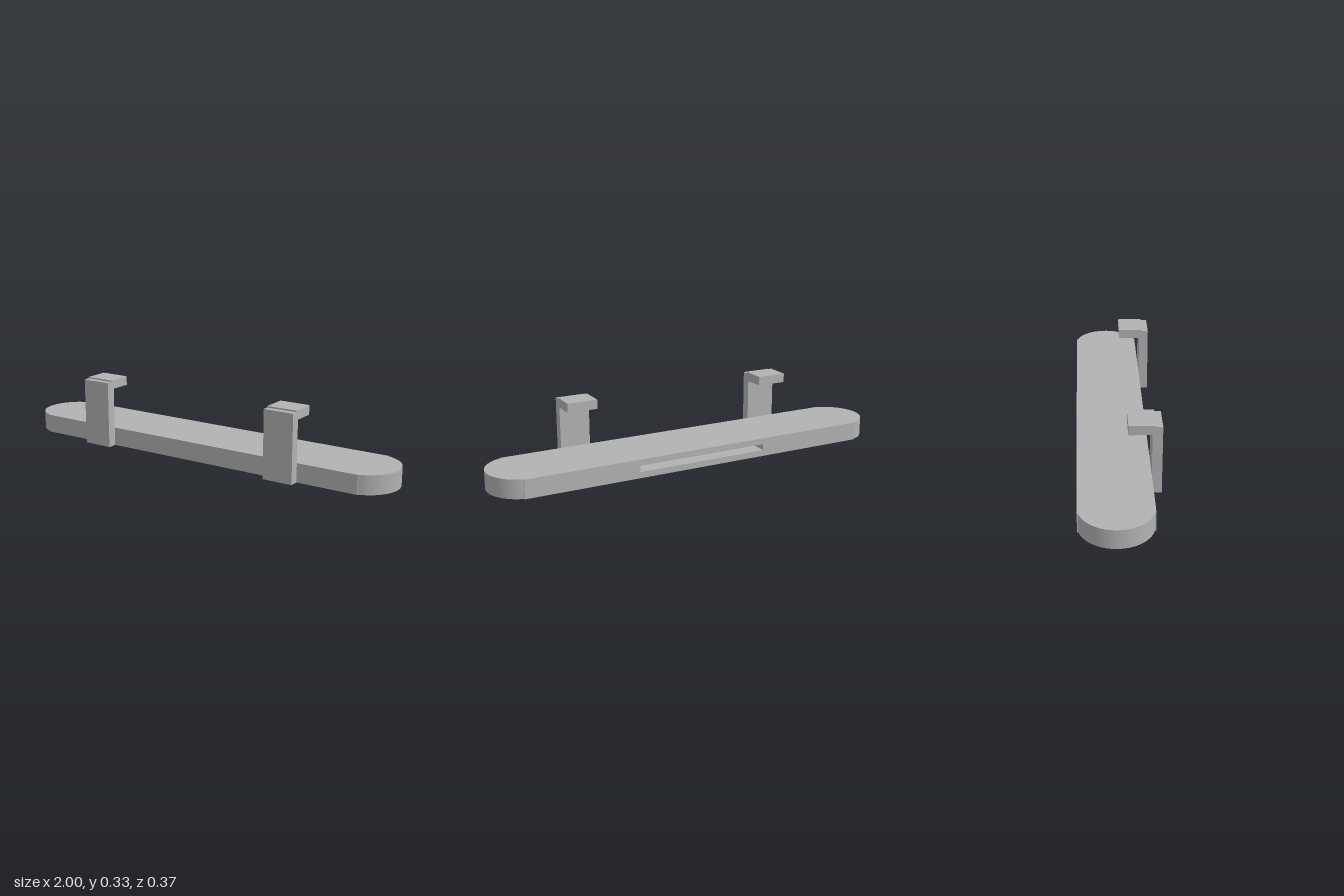
import * as THREE from 'three';
import { toCreasedNormals } from 'three/addons/utils/BufferGeometryUtils.js';

const HEIGHT = 0.09, BACK = -0.185, FRONT = 0.14, SEAM = 0.88;
const SLOT = { halfWidth: 0.33, bottom: 0.03, top: 0.06, depth: 0.12 };

function rectangle(Type, x, y0, y1) {
  return new Type([[-x, y0], [x, y0], [x, y1], [-x, y1]].map(p => new THREE.Vector2(...p)));
}

// Bar with rounded ends; its back wall is left open for the slotted plate
function barGeometry() {
  const r = (FRONT - BACK) / 2, c = 1 - r, mid = -(FRONT + BACK) / 2;
  const a = Math.acos((SEAM - c) / r);
  const outline = new THREE.Shape();
  outline.moveTo(-SEAM, -FRONT);
  outline.lineTo(SEAM, -FRONT);
  outline.absarc(c, mid, r, -a, a, false);
  outline.lineTo(SEAM, -BACK);
  outline.lineTo(-SEAM, -BACK);
  outline.absarc(-c, mid, r, Math.PI - a, Math.PI + a, false);
  outline.closePath();
  const solid = new THREE.ExtrudeGeometry(outline, { depth: HEIGHT, bevelEnabled: false, curveSegments: 32 });
  solid.rotateX(-Math.PI / 2);
  const p = solid.attributes.position, kept = [];
  for (let i = 0; i < p.count; i += 3) {
    const onBack = [0, 1, 2].every(k => p.getZ(i + k) < BACK + 1e-4);
    if (!onBack) for (let k = 0; k < 3; k++) kept.push(p.getX(i + k), p.getY(i + k), p.getZ(i + k));
  }
  const open = new THREE.BufferGeometry();
  open.setAttribute('position', new THREE.Float32BufferAttribute(kept, 3));
  return toCreasedNormals(open, 0.35);
}

// Back wall with the slot opening
function backPlateGeometry() {
  const plate = rectangle(THREE.Shape, SEAM, 0, HEIGHT);
  plate.holes.push(rectangle(THREE.Path, SLOT.halfWidth, SLOT.bottom, SLOT.top));
  return new THREE.ShapeGeometry(plate).rotateY(Math.PI).translate(0, 0, BACK);
}

// Inward-facing box without its rear face
function slotGeometry() {
  const box = new THREE.BoxGeometry(2 * SLOT.halfWidth, SLOT.top - SLOT.bottom, SLOT.depth);
  box.setIndex(Array.from(box.index.array).slice(0, 30));
  box.clearGroups();
  box.scale(-1, 1, 1);
  box.computeVertexNormals();
  return box.translate(0, (SLOT.bottom + SLOT.top) / 2, BACK + SLOT.depth / 2);
}

// Upright post with a slightly raised hook reaching back over the bar
function bracketGeometry(width) {
  const side = new THREE.Shape([
    [-0.185, 0], [-0.14, 0], [-0.14, 0.288], [-0.037, 0.288],
    [-0.037, 0.332], [-0.155, 0.332], [-0.155, 0.325], [-0.185, 0.325],
  ].map(p => new THREE.Vector2(...p)));
  return new THREE.ExtrudeGeometry(side, { depth: width, bevelEnabled: false })
    .translate(0, 0, -width / 2)
    .rotateY(Math.PI / 2);
}

export function createModel() {
  const model = new THREE.Group();
  model.name = 'slottedBarWithHooks';
  const grey = new THREE.MeshStandardMaterial({ color: 0xb2b2b2 });
  grey.name = 'grey';

  const add = (name, geometry, parent) => {
    const mesh = new THREE.Mesh(geometry, grey);
    mesh.name = name;
    parent.add(mesh);
    return mesh;
  };

  const bar = new THREE.Group();
  bar.name = 'bar';
  add('barShell', barGeometry(), bar);
  add('backPlate', backPlateGeometry(), bar);
  add('slotRecess', slotGeometry(), bar);
  model.add(bar);

  // Pair of hooked brackets on the front
  const bracket = bracketGeometry(0.147);
  add('leftBracket', bracket, model).position.x = 0.512;
  add('rightBracket', bracket, model).position.x = -0.516;
  return model;
}
